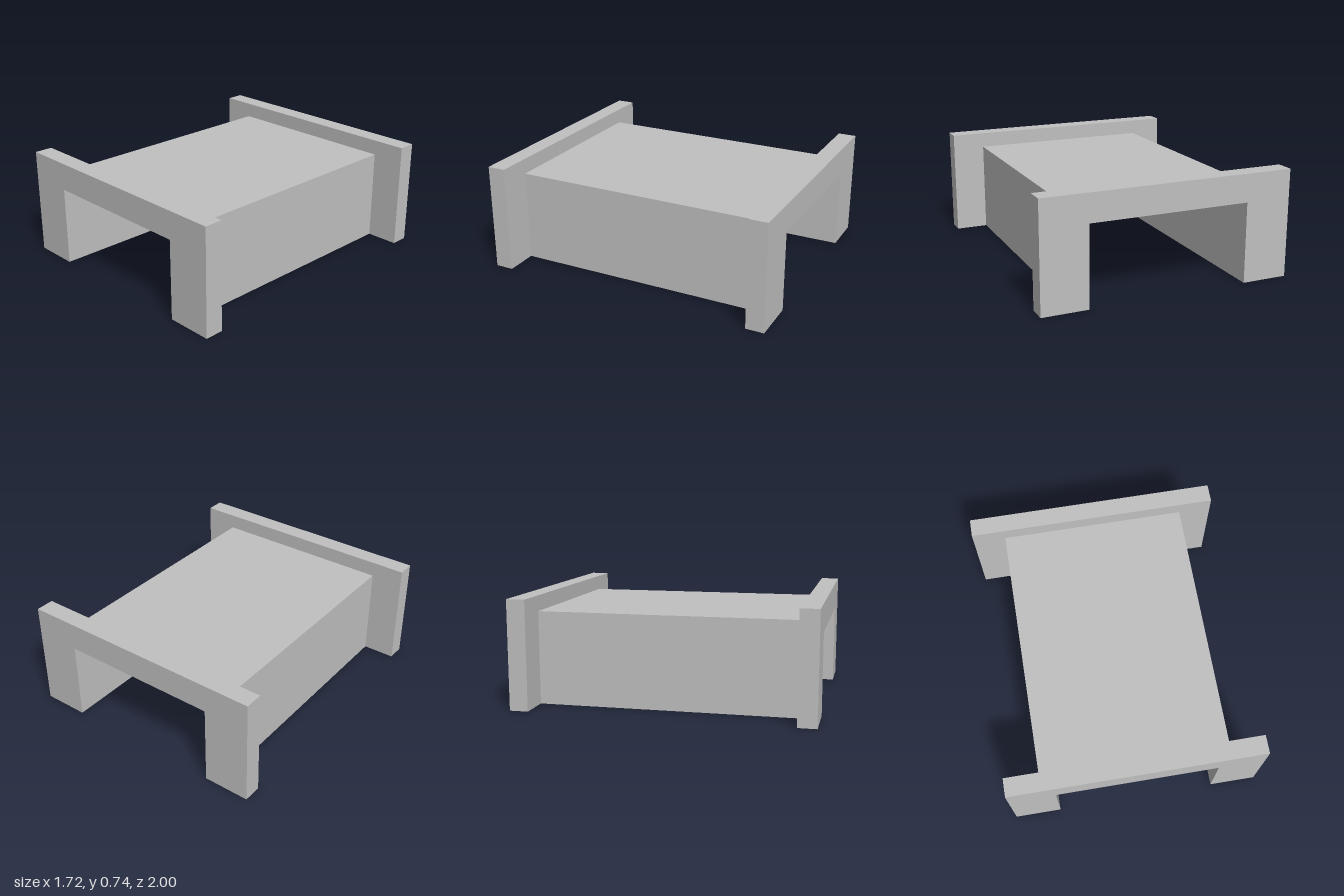
import * as THREE from 'three';

// Size of the passage that runs through every part
const OPEN_X = 0.545, OPEN_Y = 0.545;

// Upside-down U section, extruded along z and centred on its own origin
function portal(halfWidth, height, depth) {
  const shape = new THREE.Shape([
    [-halfWidth, 0], [-OPEN_X, 0], [-OPEN_X, OPEN_Y], [OPEN_X, OPEN_Y],
    [OPEN_X, 0], [halfWidth, 0], [halfWidth, height], [-halfWidth, height],
  ].map(([x, y]) => new THREE.Vector2(x, y)));
  const geometry = new THREE.ExtrudeGeometry(shape, { depth, bevelEnabled: false });
  return geometry.translate(0, 0, -depth / 2);
}

export function createModel() {
  const model = new THREE.Group();
  model.name = 'culvert';
  const concrete = new THREE.MeshStandardMaterial({ color: 0xc0c0c0 });
  concrete.name = 'concrete grey';

  const add = (name, geometry, z) => {
    const mesh = new THREE.Mesh(geometry, concrete);
    mesh.name = name;
    mesh.position.z = z;
    model.add(mesh);
  };

  // Long covered passage
  add('barrel', portal(0.635, 0.63, 1.75), 0);

  // Wider, taller walls at both ends
  const headwall = portal(0.86, 0.735, 0.125);
  add('frontHeadwall', headwall, 0.9375);
  add('backHeadwall', headwall, -0.9375);

  return model;
}
